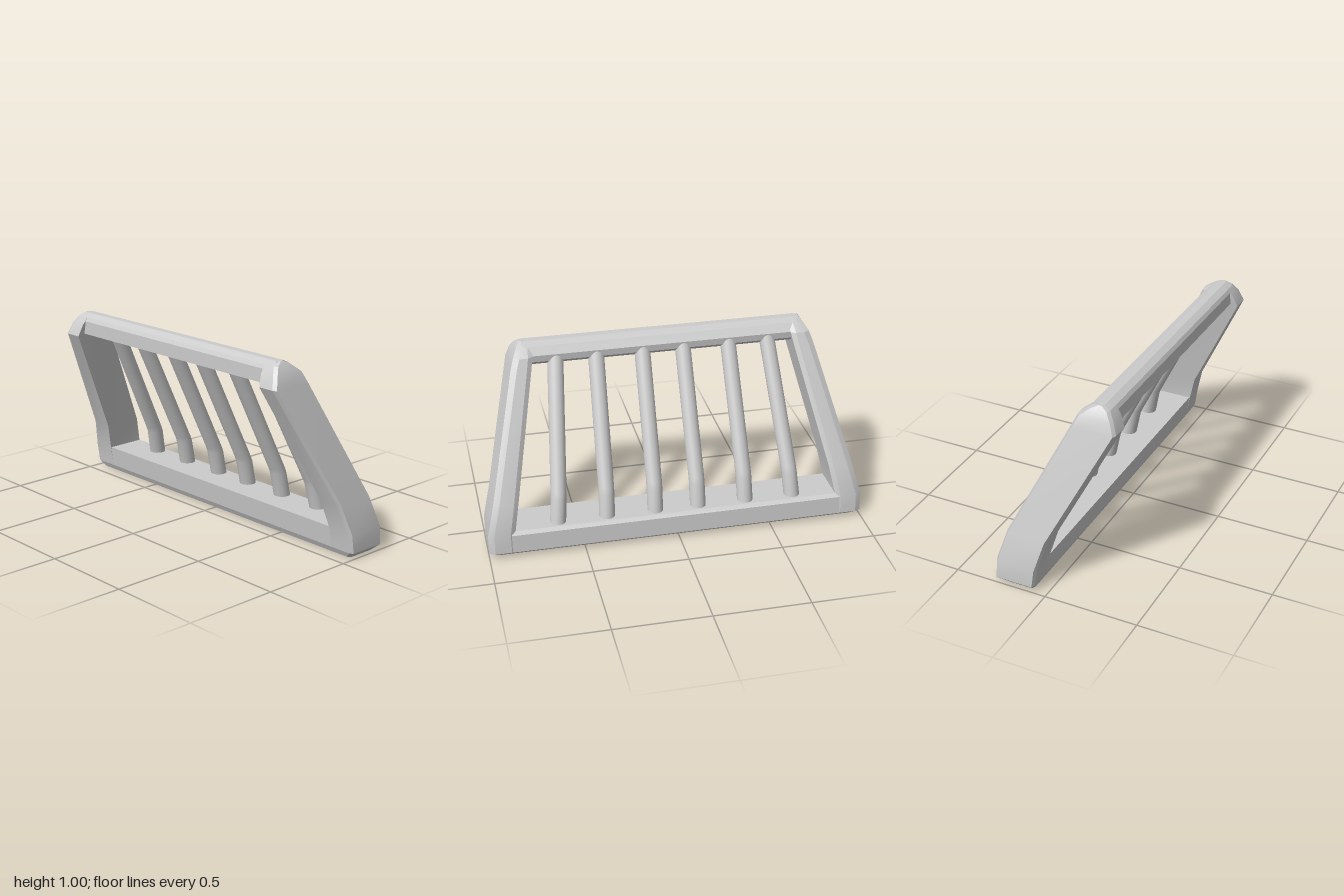
import * as THREE from 'three';
import { toCreasedNormals } from 'three/addons/utils/BufferGeometryUtils.js';

const material = new THREE.MeshStandardMaterial({ color: 0xcccccc });

// Skin a closed tube through rings of [x, y, z], counter-clockwise against the travel direction.
function loft(name, rings, crease) {
  const n = rings[0].length;
  const index = [];
  for (let i = 0; i < rings.length - 1; i++) {
    for (let j = 0; j < n; j++) {
      const a = i * n + j, b = i * n + (j + 1) % n;
      index.push(a, b, b + n, a, b + n, a + n);
    }
  }
  const end = (rings.length - 1) * n;
  for (let j = 1; j < n - 1; j++) {
    index.push(0, j + 1, j, end, end + j, end + j + 1);
  }
  const geometry = new THREE.BufferGeometry();
  geometry.setAttribute('position', new THREE.Float32BufferAttribute(rings.flat(2), 3));
  geometry.setIndex(index);
  const mesh = new THREE.Mesh(toCreasedNormals(geometry, crease), material);
  mesh.name = name;
  return mesh;
}

// Straight rail along z from an x, y section
function rail(name, section, half) {
  return loft(name, [-half, half].map((z) => section.map(([x, y]) => [x, y, z])), 0.3);
}

// Leaning side post; each level is [y, back x, front x, outer z, inner z]
const postLevels = [
  [0, 0.08, 0.25, 0.97, 0.86],
  [0.03, 0.065, 0.288, 1.0, 0.86],
  [0.13, 0.05, 0.28, 1.0, 0.86],
  [0.285, 0.008, 0.237, 0.96, 0.83],
  [0.885, -0.29, -0.052, 0.805, 0.697],
  [0.945, -0.267, -0.08, 0.785, 0.685],
  [0.985, -0.238, -0.13, 0.76, 0.68],
  [1.003, -0.205, -0.165, 0.745, 0.68],
];

function post(name, side) {
  const rings = postLevels.map(([y, back, front, outer, inner]) => {
    const ring = [
      [front, y, outer - 0.03],
      [front, y, inner + 0.025],
      [front - 0.015, y, inner],
      [back, y, inner],
      [back, y, outer - 0.02],
      [back + 0.01, y, outer],
      [front - 0.015, y, outer],
    ].map(([x, yy, z]) => [x, yy, z * side]);
    return side < 0 ? ring.reverse() : ring;
  });
  return loft(name, rings, 0.3);
}

// Round bar with a knee, leaning inwards towards the top
function bar(name, zBottom, zTop) {
  const path = [[0.222, 0.08], [0.182, 0.27], [0.17, 0.3], [-0.145, 0.94]];
  const sides = 16;
  const rings = path.map(([x, y]) => {
    const z = THREE.MathUtils.mapLinear(y, 0.14, 0.9, zBottom, zTop);
    return Array.from({ length: sides }, (_, k) => {
      const a = (k / sides) * Math.PI * 2;
      return [x + 0.044 * Math.cos(a), y, z - 0.042 * Math.sin(a)];
    });
  });
  return loft(name, rings, 0.6);
}

export function createModel() {
  const group = new THREE.Group();
  group.name = 'barredGuard';

  group.add(rail('bottomRail', [
    [0.08, 0], [0.25, 0], [0.288, 0.03], [0.28, 0.125],
    [0.262, 0.142], [0.05, 0.142], [0.065, 0.03],
  ], 0.88));

  group.add(rail('topRail', [
    [-0.25, 0.895], [-0.125, 0.89], [-0.103, 0.91], [-0.1, 0.945],
    [-0.13, 0.985], [-0.165, 1.003], [-0.205, 1.003], [-0.238, 0.985], [-0.25, 0.965],
  ], 0.73));

  // Mirrored posts and bars
  const barZ = [[0.63, 0.565], [0.372, 0.352], [0.115, 0.108]];
  for (const side of [1, -1]) {
    const end = side > 0 ? 'Front' : 'Back';
    group.add(post('post' + end, side));
    barZ.forEach(([low, high], i) => group.add(bar(`bar${end}${i + 1}`, low * side, high * side)));
  }
  return group;
}
